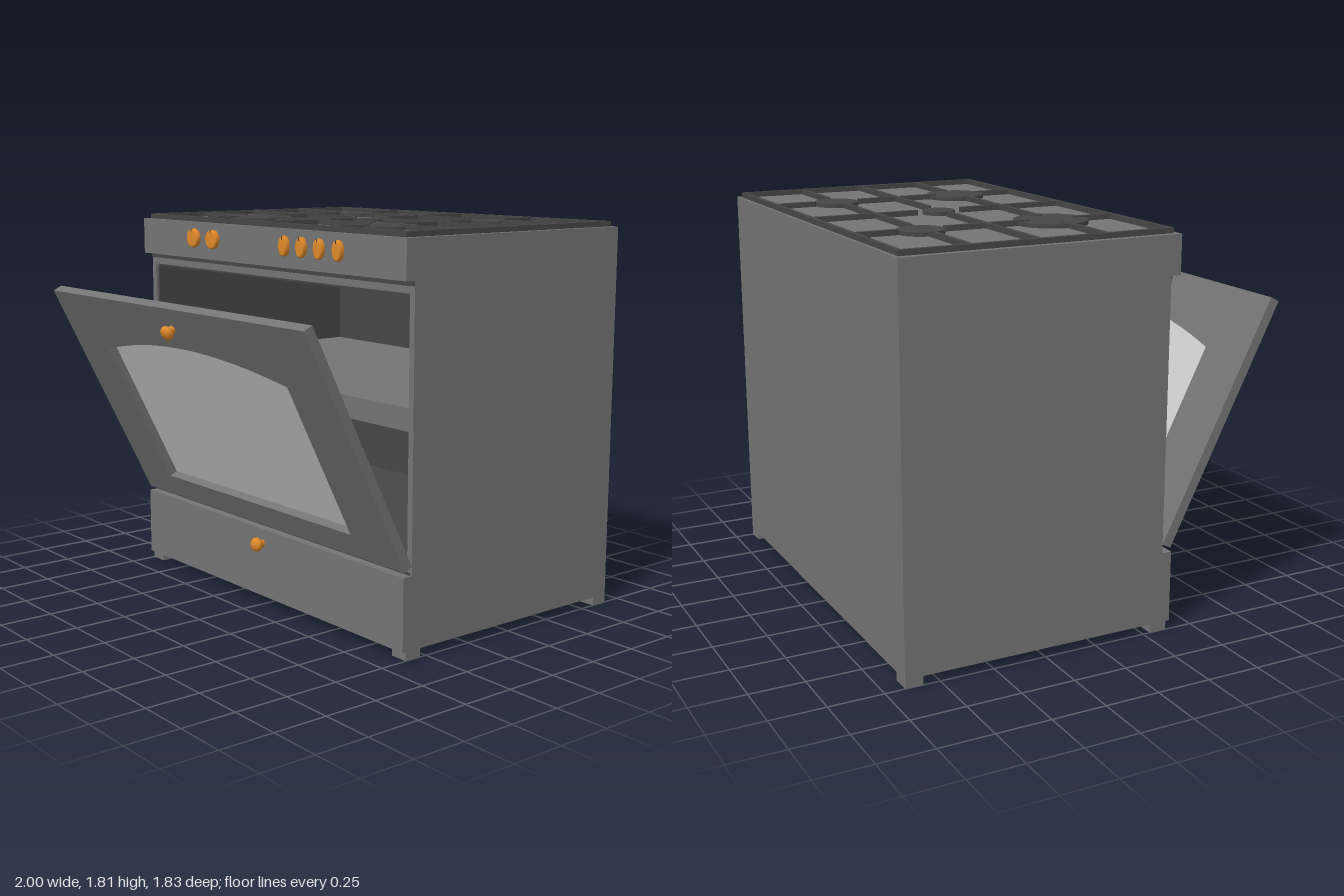
import * as THREE from 'three';

const paint = (color) => new THREE.MeshStandardMaterial({ color });
const enamel = paint(0x747474);
const iron = paint(0x464646);
const glass = paint(0xcccccc);
const brass = paint(0xe08a2a);

function add(parent, name, geometry, material) {
  const mesh = new THREE.Mesh(geometry, material);
  mesh.name = name;
  parent.add(mesh);
  return mesh;
}

// Box given by its lower and upper limits on each axis
function block(parent, name, material, [x0, x1], [y0, y1], [z0, z1]) {
  const mesh = add(parent, name, new THREE.BoxGeometry(x1 - x0, y1 - y0, z1 - z0), material);
  mesh.position.set((x0 + x1) / 2, (y0 + y1) / 2, (z0 + z1) / 2);
  return mesh;
}

// Turned pull knob pointing along +z
function pullKnob(parent, name, x, y, z) {
  const profile = [[0.018, 0], [0.018, 0.012], [0.032, 0.026], [0.034, 0.038], [0.028, 0.05], [0.014, 0.056], [0, 0.057]]
    .map(([r, h]) => new THREE.Vector2(r, h));
  const geometry = new THREE.LatheGeometry(profile, 24).rotateX(Math.PI / 2);
  add(parent, name, geometry, brass).position.set(x, y, z);
}

function createCabinet() {
  const g = new THREE.Group();
  g.name = 'cabinet';
  const back = -0.91, face = 0.338, front = 0.385, full = [-1, 1];

  for (const s of [-1, 1]) {
    block(g, 'sidePanel', enamel, [s * 0.985 - 0.015, s * 0.985 + 0.015], [0.37, 1.56], [back, face]);
    block(g, 'ovenSideLining', iron, [s * 0.965 - 0.005, s * 0.965 + 0.005], [0.38, 1.55], [-0.87, 0.325]);
  }
  block(g, 'backPanel', enamel, [-0.97, 0.97], [0.37, 1.56], [back, -0.88]);
  block(g, 'ovenBackLining', iron, [-0.97, 0.97], [0.37, 1.56], [-0.88, -0.87]);
  block(g, 'ovenCeiling', iron, [-0.96, 0.96], [1.55, 1.56], [-0.87, 0.325]);
  block(g, 'ovenFloor', iron, [-0.96, 0.96], [0.37, 0.38], [-0.87, 0.325]);
  block(g, 'ovenShelf', enamel, [-0.96, 0.96], [0.98, 1.08], [-0.87, 0.32]);

  // Solid upper and lower sections
  block(g, 'ovenTopFrame', enamel, full, [1.56, 1.615], [back, face]);
  block(g, 'controlPanel', enamel, full, [1.615, 1.79], [back, front]);
  block(g, 'drawer', enamel, full, [0.04, 0.37], [back, front]);
  block(g, 'upperSeal', iron, full, [1.592, 1.615], [face, face + 0.004]);
  block(g, 'lowerSeal', iron, [-0.99, 0.99], [0.37, 0.382], [face - 0.01, face + 0.004]);
  pullKnob(g, 'drawerKnob', 0, 0.3, front);

  // Feet at the four corners
  for (const x of [[-1, -0.913], [0.913, 1]])
    for (const z of [[0.284, 0.367], [back, -0.827]]) block(g, 'foot', enamel, x, [0, 0.04], z);
  return g;
}

function createDoor() {
  const g = new THREE.Group();
  g.name = 'ovenDoor';
  const thick = 0.046;

  // Outline of the arched window
  const arch = (Type) => {
    const p = new Type();
    p.moveTo(-0.715, 0.128);
    p.lineTo(0.715, 0.128);
    p.lineTo(0.715, 0.888);
    p.quadraticCurveTo(0, 1.068, -0.715, 0.888);
    p.closePath();
    return p;
  };
  const panel = new THREE.Shape([[-1, 0], [1, 0], [1, 1.189], [-1, 1.189]].map(([x, y]) => new THREE.Vector2(x, y)));
  panel.holes.push(arch(THREE.Path));
  add(g, 'doorPanel', new THREE.ExtrudeGeometry(panel, { depth: thick, bevelEnabled: false, curveSegments: 24 }), enamel);
  add(g, 'windowPane', new THREE.ExtrudeGeometry(arch(THREE.Shape), { depth: 0.005, bevelEnabled: false, curveSegments: 24 }), glass);
  pullKnob(g, 'doorKnob', 0, 1.083, thick);

  // Hung open on its lower inner edge
  g.position.set(0, 0.411, 0.338);
  g.rotation.x = 0.4625;
  return g;
}

function createControls() {
  const g = new THREE.Group();
  g.name = 'controls';
  const dials = [[-0.53, 0.046], [-0.37, 0.046], [0.195, 0.03], [0.32, 0.03], [0.445, 0.03], [0.575, 0.03]];
  const profile = [[0.95, 0], [1, 0.006], [1, 0.017], [0.93, 0.023], [0.8, 0.025], [0, 0.025]]
    .map(([r, h]) => new THREE.Vector2(r, h));
  for (const [x, rx] of dials) {
    const geometry = new THREE.LatheGeometry(profile, 32).rotateX(Math.PI / 2).scale(rx, 0.046, 1);
    add(g, 'dial', geometry, brass).position.set(x, 1.714, 0.385);
    block(g, 'dialMark', iron, [x - 0.003, x + 0.003], [1.744, 1.759], [0.39, 0.4105]);
  }
  return g;
}

function createHob() {
  const g = new THREE.Group();
  g.name = 'hob';
  const y = [1.79, 1.814], w = 0.01;
  const [left, right, rear, front] = [-0.97, 0.97, -0.895, 0.362];

  // Outer grate frame
  for (const z of [rear, front - 2 * w]) block(g, 'grateRail', iron, [left, right], y, [z, z + 2 * w]);
  for (const x of [left, right - 2 * w]) block(g, 'grateRail', iron, [x, x + 2 * w], y, [rear, front]);

  // Bar with rounded ends, along x or z
  const bar = (alongX, at, a, b) => {
    const centre = (t) => (alongX ? [t, at] : [at, t]);
    const [p, q] = [centre(a + w), centre(b - w)];
    block(g, 'grateBar', iron, alongX ? [a + w, b - w] : [at - w, at + w], y, alongX ? [at - w, at + w] : [a + w, b - w]);
    for (const [x, z] of [p, q])
      add(g, 'grateBarEnd', new THREE.CylinderGeometry(w, w, y[1] - y[0], 12), iron).position.set(x, (y[0] + y[1]) / 2, z);
  };
  for (const x of [-0.485, 0.485]) {
    bar(false, x, rear, -0.685);
    bar(false, x, -0.475, -0.06);
    bar(false, x, 0.15, front);
  }
  bar(false, 0, rear, -0.375);
  bar(false, 0, -0.165, front);
  for (const z of [-0.58, 0.045]) {
    bar(true, z, left, -0.59);
    bar(true, z, -0.385, 0.385);
    bar(true, z, 0.59, right);
  }
  bar(true, -0.27, left, -0.1);
  bar(true, -0.27, 0.1, right);

  // Burners: x, z, radius
  const burners = [[-0.485, -0.58, 0.104], [0.485, -0.58, 0.104], [0, -0.27, 0.074], [-0.485, 0.045, 0.166], [0.485, 0.045, 0.14]];
  for (const [x, z, r] of burners)
    add(g, 'burner', new THREE.CylinderGeometry(r, r, 0.018, 40), iron).position.set(x, 1.799, z);
  return g;
}

export function createModel() {
  const model = new THREE.Group();
  model.name = 'cooker';
  model.add(createCabinet(), createDoor(), createControls(), createHob());
  return model;
}
